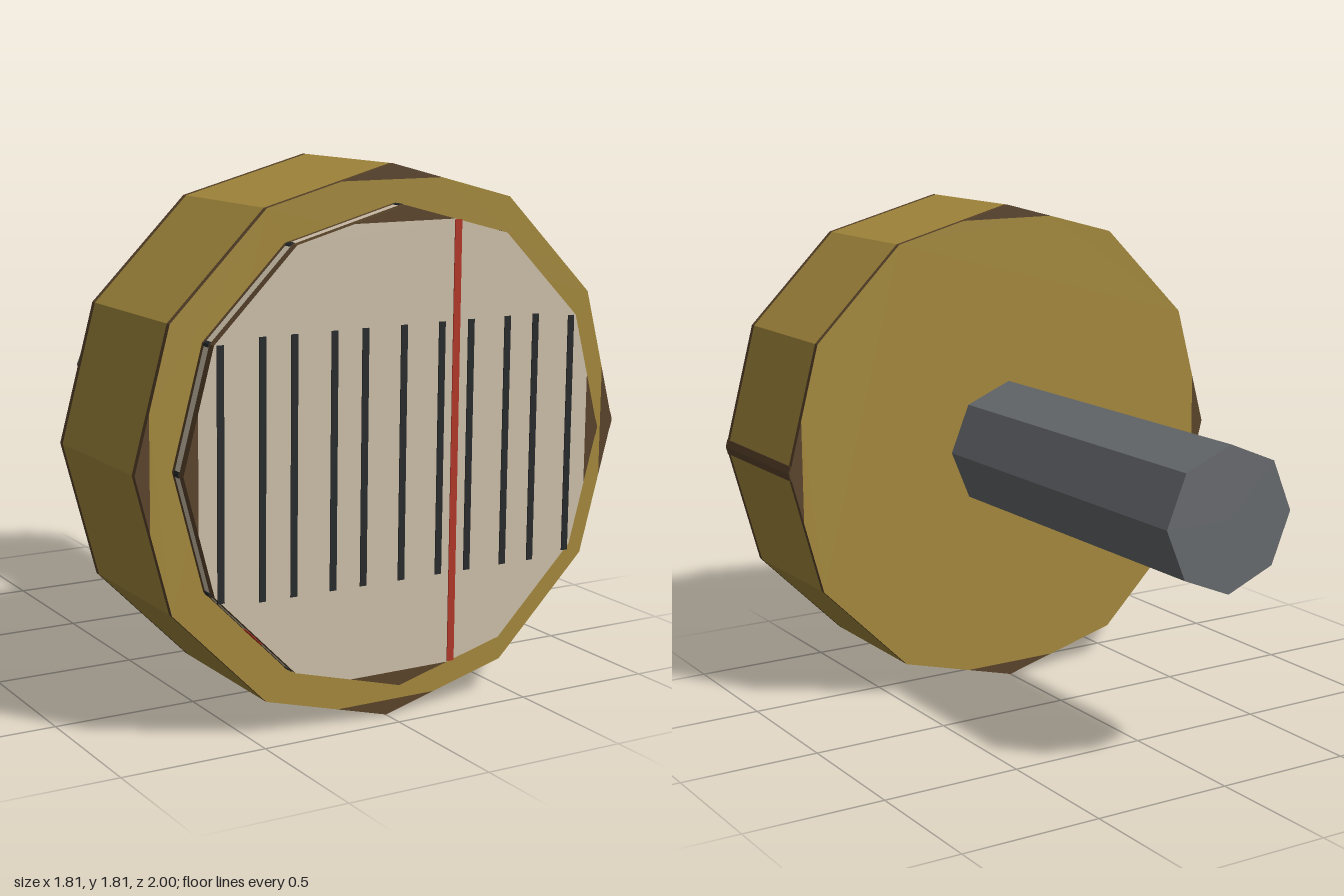
import * as THREE from 'three';

const CY = 0.905; // height of the axis
const SIDES = 12;

const mat = (name, color) => {
  const m = new THREE.MeshStandardMaterial({ color, flatShading: true });
  m.name = name;
  return m;
};

export function createModel() {
  const brass = mat('brass', 0xa2873b);
  const bronze = mat('dark bronze', 0x59432a);
  const ivory = mat('ivory', 0xcbbea8);
  const black = mat('tick black', 0x26292a);
  const red = mat('marker red', 0xaf3626);
  const steel = mat('steel grey', 0x66696d);

  const root = new THREE.Group();
  root.name = 'gaugeKnob';
  const model = new THREE.Group(); // everything is built around the z axis
  model.name = 'knobOnAxis';
  model.position.y = CY;
  root.add(model);

  const add = (name, geometry, material) => {
    const mesh = new THREE.Mesh(geometry, material);
    mesh.name = name;
    model.add(mesh);
    return mesh;
  };

  // Open ring of side faces from z0 to z1
  const ring = (name, r, z0, z1, material) => {
    const g = new THREE.CylinderGeometry(r, r, z1 - z0, SIDES, 1, true);
    g.rotateX(Math.PI / 2).translate(0, 0, (z0 + z1) / 2);
    return add(name, g, material);
  };

  // Twelve-sided end face whose four cardinal corners are a separate colour
  const endFace = (name, r, z, faceMat, back = false) => {
    const cut = r - 0.05;
    const half = 0.05 / Math.tan(Math.PI / 12);
    const outline = [];
    const corners = [];
    for (let k = 0; k < SIDES; k++) {
      const a = (k * Math.PI) / 6;
      const at = (x, y) => new THREE.Vector2(x, y).rotateAround(new THREE.Vector2(), a);
      if (k % 3) outline.push(at(r, 0));
      else {
        const p = at(cut, -half), q = at(cut, half);
        outline.push(p, q);
        corners.push(new THREE.Shape([p, at(r, 0), q]));
      }
    }
    const place = (g) => (back ? g.rotateY(Math.PI) : g).translate(0, 0, z);
    add(name, place(new THREE.ShapeGeometry(new THREE.Shape(outline))), faceMat);
    add(name + 'Corners', place(new THREE.ShapeGeometry(corners)), bronze);
  };

  // Thin plate following the side faces; u runs once round, starting at +x
  const sidePlate = (name, r, u0, u1, z0, z1, material) => {
    const point = (u, radius) => {
      const k = Math.floor(u * SIDES + 1e-6);
      const corner = (i) => new THREE.Vector2(Math.cos((i * Math.PI) / 6), Math.sin((i * Math.PI) / 6));
      return corner(k).lerp(corner(k + 1), u * SIDES - k).multiplyScalar(radius);
    };
    const us = [u0, u1];
    const bend = Math.round(((u0 + u1) / 2) * SIDES) / SIDES;
    if (bend > u0 && bend < u1) us.splice(1, 0, bend);
    const outer = us.map((u) => point(u, r + 0.003));
    const inner = us.map((u) => point(u, r - 0.003)).reverse();
    const g = new THREE.ExtrudeGeometry(new THREE.Shape([...outer, ...inner]), {
      depth: z1 - z0, bevelEnabled: false,
    });
    add(name, g.translate(0, 0, z0), material);
  };

  // Drum
  const R = 0.905;
  ring('drumSide', R, 0.38, 0.9, brass);
  ring('drumBackRim', R, 0.36, 0.38, bronze);
  ring('drumFrontRim', R, 0.9, 0.92, bronze);
  endFace('drumFront', R, 0.92, brass);
  endFace('drumBack', R, 0.36, brass, true);
  sidePlate('drumSeam', R, -0.005, 0.005, 0.362, 0.918, bronze);

  // Dial
  const D = 0.78;
  ring('dialSide', D, 0.935, 0.967, ivory);
  ring('dialBackRim', D, 0.92, 0.935, bronze);
  ring('dialFrontRim', D, 0.967, 0.997, bronze);
  endFace('dialFace', D, 0.997, ivory);
  sidePlate('dialSeam', D, -0.006, 0.006, 0.922, 0.995, bronze);
  for (let k = 1; k < SIDES; k++) {
    sidePlate('dialSideTick', D, k / SIDES - 0.002, k / SIDES + 0.002, 0.935, 0.967, black);
  }
  sidePlate('dialSideMarker', D, 0.622, 0.637, 0.935, 0.967, red);

  // Dial ticks and red marker line
  for (const x of [-0.655, -0.51, -0.398, -0.255, -0.143, 0, 0.143, 0.255, 0.398, 0.51, 0.655]) {
    const height = Math.abs(x) > 0.6 ? 0.8 : 0.83;
    add('dialTick', new THREE.BoxGeometry(0.024, height, 0.006), black).position.set(x, -0.01, 0.997);
  }
  add('dialMarker', new THREE.BoxGeometry(0.026, 1.455, 0.006), red).position.set(0.198, 0, 0.997);

  // Shaft
  const shaft = new THREE.CylinderGeometry(0.248, 0.248, 1.38, 8);
  shaft.rotateX(Math.PI / 2).translate(0, 0, -0.31);
  add('shaft', shaft, steel);

  return root;
}
